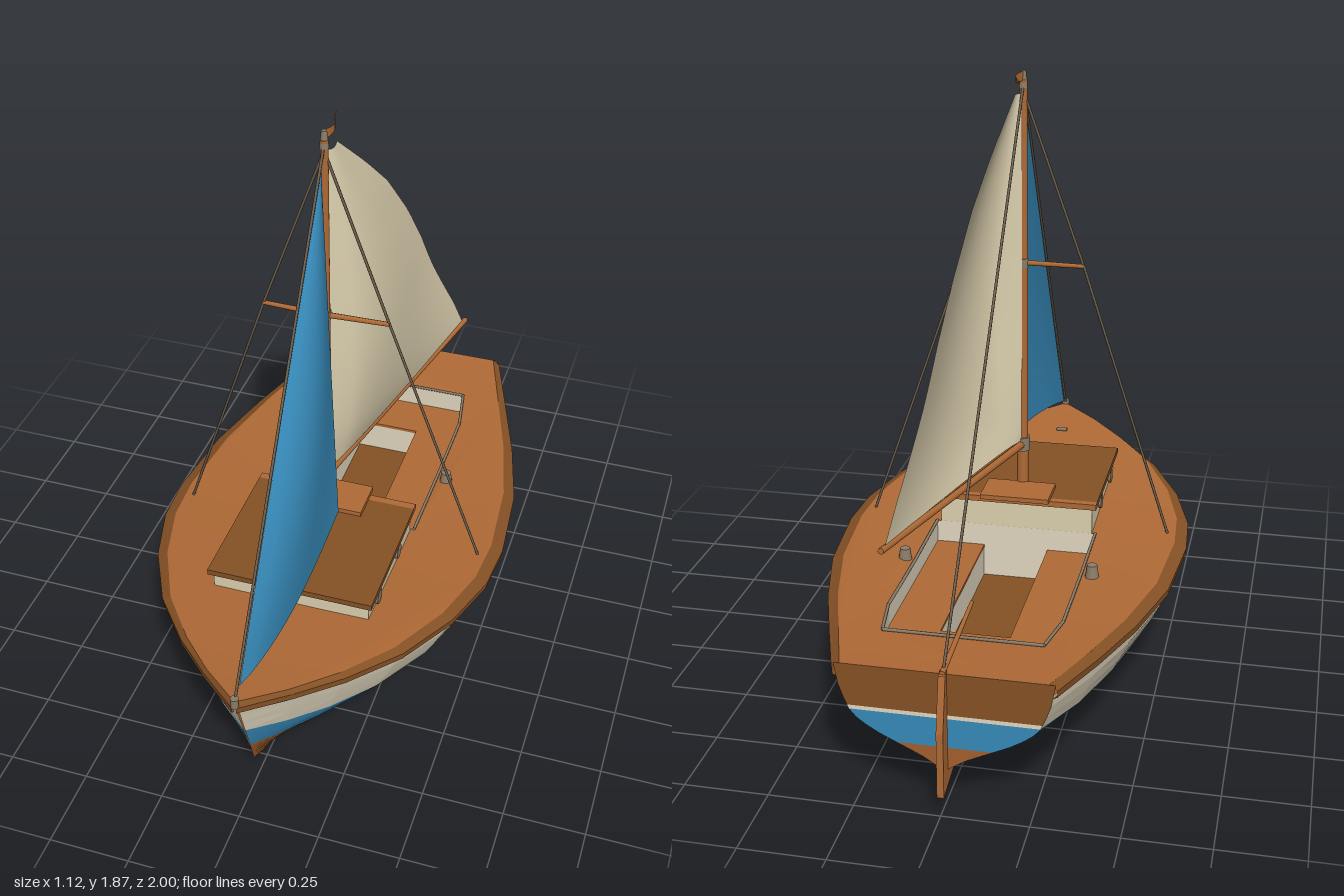
import * as THREE from 'three';

const mat = (name, color) => new THREE.MeshStandardMaterial({ name, color, side: THREE.DoubleSide });
const V = (x, y, z) => new THREE.Vector3(x, y, z);

// Hull stations: z at deck, stem rake, half width, sheer, keel, waterline bottom, waterline top
const STATIONS = [
  [-0.95, 0, 0.31, 0.42, 0.12, 0.19, 0.28],
  [-0.72, 0, 0.39, 0.402, 0.055, 0.155, 0.235],
  [-0.5, 0, 0.464, 0.394, 0.04, 0.145, 0.224],
  [-0.25, 0, 0.528, 0.392, 0.035, 0.143, 0.222],
  [0.03, 0, 0.553, 0.399, 0.035, 0.143, 0.222],
  [0.2, 0, 0.541, 0.406, 0.035, 0.145, 0.225],
  [0.4, 0, 0.483, 0.419, 0.037, 0.15, 0.235],
  [0.6, 0.02, 0.382, 0.435, 0.04, 0.16, 0.25],
  [0.76, 0.06, 0.255, 0.451, 0.043, 0.172, 0.265],
  [0.88, 0.1, 0.135, 0.467, 0.06, 0.185, 0.28],
  [0.985, 0.125, 0.003, 0.482, 0.11, 0.2, 0.297],
];
const FULLNESS = [[0, 0.03], [0.1, 0.17], [0.2, 0.37], [0.29, 0.56], [0.36, 0.68], [0.43, 0.78], [0.51, 0.86], [0.75, 0.955], [1, 1]];

function lerpTable(table, x, col = 1) {
  let i = 1;
  while (i < table.length - 1 && x > table[i][0]) i++;
  const a = table[i - 1], b = table[i];
  return a[col] + (b[col] - a[col]) * (x - a[0]) / (b[0] - a[0]);
}
const sheer = (z) => lerpTable(STATIONS, z, 3);

// Point on the hull skin at one station and height
function skin([z, rake, w, s, k], y, side) {
  const u = (y - k) / (s - k);
  const flare = Math.min(1, Math.max(0, (z - 0.3) / 0.6)) * 0.4;
  const f = lerpTable(FULLNESS, u) * (1 - flare) + u * flare;
  return V(side * w * f, y, z - rake * (1 - u));
}

// Surface through rows of points
function grid(rows, flat = false) {
  const n = rows[0].length, index = [];
  for (let i = 0; i < rows.length - 1; i++) {
    for (let j = 0; j < n - 1; j++) {
      const a = i * n + j, b = a + 1, c = a + n, d = c + 1;
      index.push(a, c, b, b, c, d);
    }
  }
  let geo = new THREE.BufferGeometry().setFromPoints(rows.flat());
  geo.setIndex(index);
  if (flat) geo = geo.toNonIndexed();
  geo.computeVertexNormals();
  return geo;
}

function sideProfile(points, thickness) {
  // Outline given as (z, y), extruded across x
  const shape = new THREE.Shape(points.map(([z, y]) => new THREE.Vector2(-z, y)));
  const geo = new THREE.ExtrudeGeometry(shape, { depth: thickness, bevelEnabled: false });
  return geo.translate(0, 0, -thickness / 2).rotateY(Math.PI / 2);
}

export function createModel() {
  const wood = mat('wood', 0xb06a36);
  const darkWood = mat('darkWood', 0x855125);
  const bottomPaint = mat('bottomPaint', 0xa5602f);
  const blue = mat('blue', 0x378ab9);
  const hullPaint = mat('hullPaint', 0xe2d8c0);
  const cream = mat('cream', 0xddd1b0);
  const metal = mat('metal', 0x8c7d68);
  const rope = mat('rope', 0x6b5d4b);

  const boat = new THREE.Group();
  boat.name = 'sailboat';
  const add = (name, geo, material) => {
    const mesh = new THREE.Mesh(geo, material);
    mesh.name = name;
    boat.add(mesh);
    return mesh;
  };
  const box = (name, [x0, x1], [y0, y1], [z0, z1], m) => add(name,
    new THREE.BoxGeometry(x1 - x0, y1 - y0, z1 - z0).translate((x0 + x1) / 2, (y0 + y1) / 2, (z0 + z1) / 2), m);
  const rod = (name, a, b, r, m, r2 = r, sides = 8) => {
    const mesh = add(name, new THREE.CylinderGeometry(r2, r, a.distanceTo(b), sides), m);
    mesh.position.copy(a).lerp(b, 0.5);
    mesh.quaternion.setFromUnitVectors(V(0, 1, 0), b.clone().sub(a).normalize());
  };

  // Hull bands and gunwale, mirrored
  const band = (st, from, to, n) => Array.from({ length: n + 1 }, (_, i) => from(st) + (to(st) - from(st)) * i / n);
  const keelY = (s) => s[4], lowY = (s) => s[5], highY = (s) => s[6], topY = (s) => s[3] - 0.03;
  for (const side of [1, -1]) {
    const strip = (from, to, n) => STATIONS.map((s) => band(s, from, to, n).map((y) => skin(s, y, side)));
    add('hullBottom', grid(strip(keelY, lowY, 6)), bottomPaint);
    add('hullStripe', grid(strip(lowY, highY, 3)), blue);
    add('hullTopside', grid(strip(highY, topY, 3), true), hullPaint);
    const rail = STATIONS.map(([z, , w, s]) => {
      const zz = z > 0.9 ? z + 0.01 : z;
      return [V(side * w * 0.94, s, z), V(side * (w + 0.005), s - 0.016, zz),
        V(side * (w + 0.003), s - 0.037, zz), V(side * w * 0.97, s - 0.042, z)];
    });
    add('gunwale', grid(rail, true), darkWood);
  }

  // Transom in painted layers
  const stern = STATIONS[0];
  const layer = (name, y0, y1, m) => add(name, grid([0, 1, 2, 3, 4].map((i) => {
    const y = y0 + (y1 - y0) * i / 4;
    return [skin(stern, y, -1), skin(stern, y, 1)];
  })), m);
  layer('transomBottom', 0.12, 0.19, bottomPaint);
  layer('transomStripe', 0.19, 0.28, blue);
  layer('transomLine', 0.28, 0.292, hullPaint);
  layer('transomPanel', 0.292, 0.42, darkWood);

  // Deck with cockpit opening
  const edge = STATIONS.map(([z, , w]) => new THREE.Vector2(w * 0.94, z));
  const well = [[0.235, -0.72], [0.262, -0.56], [0.262, -0.4], [0.262, -0.25], [0.262, -0.1], [0.262, 0.035]];
  const loop = [...well, ...well.map(([x, z]) => [-x, z]).reverse()];
  const deckShape = new THREE.Shape([...edge, ...edge.map((p) => new THREE.Vector2(-p.x, p.y)).reverse()]);
  deckShape.holes.push(new THREE.Path(loop.map(([x, z]) => new THREE.Vector2(x, z))));
  const deck = new THREE.ShapeGeometry(deckShape);
  const pos = deck.attributes.position;
  for (let i = 0; i < pos.count; i++) {
    const z = pos.getY(i);
    pos.setXYZ(i, pos.getX(i), sheer(z), z);
  }
  deck.computeVertexNormals();
  add('deck', deck, wood);

  // Cockpit walls, coaming (open towards the cabin), benches and sole
  const closed = [...loop, loop[0]];
  add('cockpitWall', grid(closed.map(([x, z]) => [V(x, 0.325, z), V(x, sheer(z) + 0.004, z)]), true), hullPaint);
  for (let i = 0; i < closed.length - 1; i++) {
    if (i === well.length - 1) continue;
    const [a, b] = [closed[i], closed[i + 1]].map(([x, z]) => V(x, sheer(z) + 0.005, z));
    rod('coaming', a, b, 0.005, metal, 0.005, 6);
  }
  for (const s of [1, -1]) {
    box('bench', [s > 0 ? 0.105 : -0.262, s > 0 ? 0.262 : -0.105], [0.32, 0.33], [-0.56, 0.035], wood);
    box('benchFront', [s * 0.11 - 0.004, s * 0.11 + 0.004], [0.22, 0.32], [-0.56, 0.035], hullPaint);
  }
  box('aftBench', [-0.262, 0.262], [0.32, 0.33], [-0.725, -0.56], wood);
  box('aftBenchFront', [-0.11, 0.11], [0.22, 0.32], [-0.568, -0.56], hullPaint);
  box('frontBulkhead', [-0.11, 0.11], [0.22, 0.4], [0.035, 0.043], hullPaint);
  box('cockpitSole', [-0.11, 0.11], [0.215, 0.222], [-0.56, 0.035], darkWood);

  // Cabin
  box('cabin', [-0.25, 0.25], [0.38, 0.487], [0.04, 0.508], cream);
  box('cabinRoof', [-0.264, 0.264], [0.487, 0.506], [0.055, 0.524], darkWood);
  box('cabinAftBeam', [-0.264, 0.264], [0.487, 0.506], [0.03, 0.055], wood);
  box('hatch', [-0.112, 0.112], [0.506, 0.521], [0.005, 0.142], wood);
  for (const s of [1, -1]) {
    for (const z of [0.2, 0.415]) {
      rod('porthole', V(s * 0.248, 0.447, z), V(s * 0.259, 0.447, z), 0.024, metal, 0.024, 16);
    }
    rod('winch', V(s * 0.296, 0.39, -0.245), V(s * 0.296, 0.432, -0.245), 0.022, metal, 0.016, 12);
  }

  // Keel, rudder and tiller
  add('keel', sideProfile([[0.29, 0.04], [0.2, 0.002], [-0.45, 0.002], [-0.54, 0.045]], 0.036), wood);
  add('rudder', sideProfile([[-0.945, 0.43], [-0.965, 0.42], [-1, 0.26], [-1, 0.06], [-0.865, 0.09], [-0.95, 0.13]], 0.02), wood);
  rod('tiller', V(0, 0.425, -0.96), V(0, 0.456, -0.6), 0.009, wood, 0.006);

  // Mast, spreaders and boom
  rod('mast', V(0, 0.4, 0.15), V(0, 1.84, 0.15), 0.02, wood, 0.012, 12);
  rod('mastCap', V(0, 1.815, 0.15), V(0, 1.868, 0.15), 0.014, metal, 0.008, 10);
  rod('gooseneck', V(0, 0.632, 0.15), V(0, 0.677, 0.15), 0.025, metal, 0.025, 12);
  rod('spreaderBand', V(0, 1.25, 0.15), V(0, 1.28, 0.15), 0.018, metal, 0.018, 12);
  rod('boom', V(0, 0.653, 0.14), V(0.212, 0.688, -0.79), 0.013, wood, 0.01);

  // Rigging
  const stay = (name, a, b) => rod(name, a, b, 0.0045, rope, 0.0045, 6);
  for (const s of [1, -1]) {
    const tip = V(s * 0.195, 1.265, 0.143);
    rod('spreader', V(0, 1.265, 0.15), tip, 0.009, wood, 0.007);
    stay('upperShroud', V(0, 1.805, 0.15), tip);
    stay('lowerShroud', tip, V(s * 0.49, 0.4, 0.09));
  }
  stay('forestay', V(0, 0.482, 0.985), V(0, 1.82, 0.155));
  stay('backstay', V(0, 0.425, -0.945), V(0, 1.82, 0.145));

  // Bow fittings
  rod('stemHead', V(0, 0.465, 0.987), V(0, 0.497, 0.987), 0.013, metal, 0.013, 8);
  rod('cleat', V(-0.042, 0.462, 0.77), V(-0.005, 0.462, 0.77), 0.007, metal);

  // Mainsail: leech given as (height, z), belly towards the left
  const leech = [[0, -0.77], [0.095, -0.718], [0.312, -0.568], [0.45, -0.484], [0.584, -0.385], [0.747, -0.235], [0.87, -0.09], [1, 0.075]];
  const N = 20, main = [], jib = [];
  for (let i = 0; i <= N; i++) {
    const v = i / N, mainRow = [], jibRow = [];
    const zEnd = lerpTable(leech, v);
    const luff = V(0, 0.505, 0.945).lerp(V(0, 1.76, 0.18), v);
    const clew = V(0.072, 0.605, 0.25).lerp(V(0, 1.76, 0.178), v);
    const slope = 0.228 * (1 - 0.15 * Math.sin(Math.PI * v));
    for (let j = 0; j <= 14; j++) {
      const u = j / 14, z = 0.132 + (zEnd - 0.132) * u;
      const mainBulge = Math.sin(Math.PI * Math.pow(u, 0.55));
      const belly = mainBulge * (0.012 + 0.078 * Math.sin(Math.PI * Math.pow(v, 0.8)));
      const foot = 0.668 + 0.027 * u;
      mainRow.push(V(slope * (0.132 - z) + belly, foot + (1.8 - foot) * v, z));
      const p = luff.clone().lerp(clew, u);
      p.x += 0.066 * Math.sin(Math.PI * Math.pow(u, 0.75)) * Math.pow(1 - v, 0.6) * (0.45 + Math.sin(Math.PI * v) * 0.7);
      jibRow.push(p);
    }
    main.push(mainRow);
    jib.push(jibRow);
  }
  add('mainsail', grid(main), cream);
  add('jib', grid(jib), blue);

  // Pennant with a gentle wave
  const flag = Array.from({ length: 9 }, (_, i) => {
    const t = i / 8, x = 0.012 * Math.sin(t * Math.PI * 1.6), h = 0.013 * (1 - t) + 0.002;
    return [V(x, 1.851 - h, 0.14 - 0.14 * t), V(x, 1.851 + h, 0.14 - 0.14 * t)];
  });
  add('pennant', grid(flag), wood);
  return boat;
}
